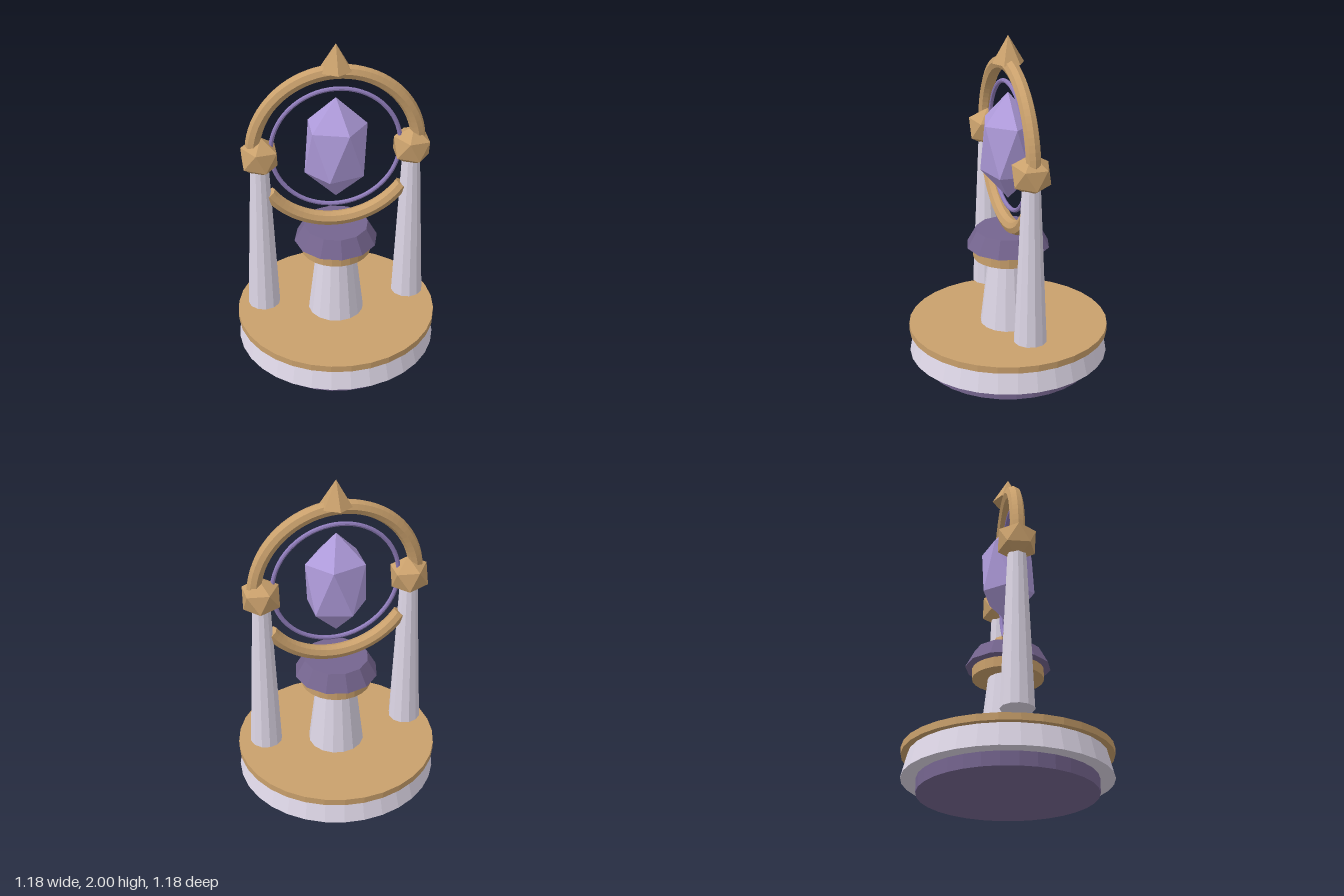
import * as THREE from 'three';

const material = (color, extra = {}) =>
  new THREE.MeshStandardMaterial({ color, flatShading: true, ...extra });

export function createModel() {
  const model = new THREE.Group();
  const gold = material(0xc9a06c);
  const stone = material(0xddd6e6);
  const violet = material(0x75658f);
  const crystalViolet = material(0xb09cdc, { side: THREE.DoubleSide });
  const ringViolet = material(0x8f7cba);

  function add(name, geometry, mat, x = 0, y = 0, z = 0) {
    const mesh = new THREE.Mesh(geometry, mat);
    mesh.name = name;
    mesh.position.set(x, y, z);
    model.add(mesh);
    return mesh;
  }

  // Upright drum or frustum between two heights
  function drum(name, mat, bottomR, topR, y0, y1, sides, x = 0) {
    const geometry = new THREE.CylinderGeometry(topR, bottomR, y1 - y0, sides);
    return add(name, geometry, mat, x, (y0 + y1) / 2);
  }

  // Stepped base
  drum('baseFoot', violet, 0.505, 0.505, 0, 0.08, 32);
  drum('baseBody', stone, 0.59, 0.555, 0.08, 0.215, 32);
  drum('basePlate', gold, 0.592, 0.592, 0.215, 0.255, 32);

  // Central pedestal
  drum('pedestal', stone, 0.165, 0.115, 0.255, 0.68, 16);
  drum('pedestalCollar', gold, 0.205, 0.205, 0.68, 0.74, 24);
  drum('pedestalCup', violet, 0.245, 0.19, 0.75, 0.85, 12);
  drum('cupNeck', violet, 0.16, 0.16, 0.74, 0.75, 12);

  // Side pillars topped with faceted orbs
  for (const [side, s] of [['left', 1], ['right', -1]]) {
    drum(side + 'Pillar', stone, 0.095, 0.053, 0.335, 1.26, 12, s * 0.435);
    const orb = add(side + 'Orb', new THREE.IcosahedronGeometry(0.122, 0), gold, s * 0.435, 1.335);
    orb.rotation.z = 0.45;
  }

  // Large ring, open where the pillars meet it
  function ringArc(name, startDeg, sweepDeg, segments) {
    const sweep = THREE.MathUtils.degToRad(sweepDeg);
    const arc = add(name, new THREE.TorusGeometry(0.4725, 0.043, 8, segments, sweep), gold, 0, 1.36);
    arc.rotation.z = THREE.MathUtils.degToRad(startDeg);
    // End caps
    for (const [angle, turn] of [[0, Math.PI / 2], [sweep, -Math.PI / 2]]) {
      const cap = new THREE.Mesh(new THREE.CircleGeometry(0.043, 8), gold);
      cap.name = name + 'End';
      cap.position.set(0.4725 * Math.cos(angle), 0.4725 * Math.sin(angle), 0);
      cap.rotation.set(turn, angle, 0, 'ZYX');
      cap.rotation.set(turn, 0, angle, 'ZYX');
      arc.add(cap);
    }
  }
  ringArc('upperRing', 0, 180, 40);
  ringArc('lowerRing', 215, 110, 26);

  // Thin inner ring
  add('innerRing', new THREE.TorusGeometry(0.37, 0.013, 8, 64), ringViolet, 0, 1.357);

  // Pointed finial
  const finial = new THREE.ConeGeometry(0.093, 0.155, 6);
  add('finial', finial, gold, 0, 1.9225);

  // Floating crystal: two staggered five-sided rings between two points
  const points = [[0, 1.675, 0], [0, 1.04, 0]];
  for (let i = 0; i < 5; i++) {
    const a = (i * Math.PI * 2) / 5;
    const b = a + Math.PI / 5;
    points.push([0.18 * Math.cos(a), 1.5, 0.157 * Math.sin(a)]);
    points.push([0.18 * Math.cos(b), 1.21, 0.157 * Math.sin(b)]);
  }
  const faces = [];
  for (let i = 0; i < 5; i++) {
    const u = 2 + 2 * i, l = u + 1;
    const u2 = 2 + 2 * ((i + 1) % 5), l2 = u2 + 1;
    faces.push(0, u2, u, u, u2, l, l, u2, l2, 1, l, l2);
  }
  const crystal = new THREE.BufferGeometry();
  crystal.setAttribute('position', new THREE.Float32BufferAttribute(points.flat(), 3));
  crystal.setIndex(faces);
  crystal.computeVertexNormals();
  add('crystal', crystal, crystalViolet);

  return model;
}
